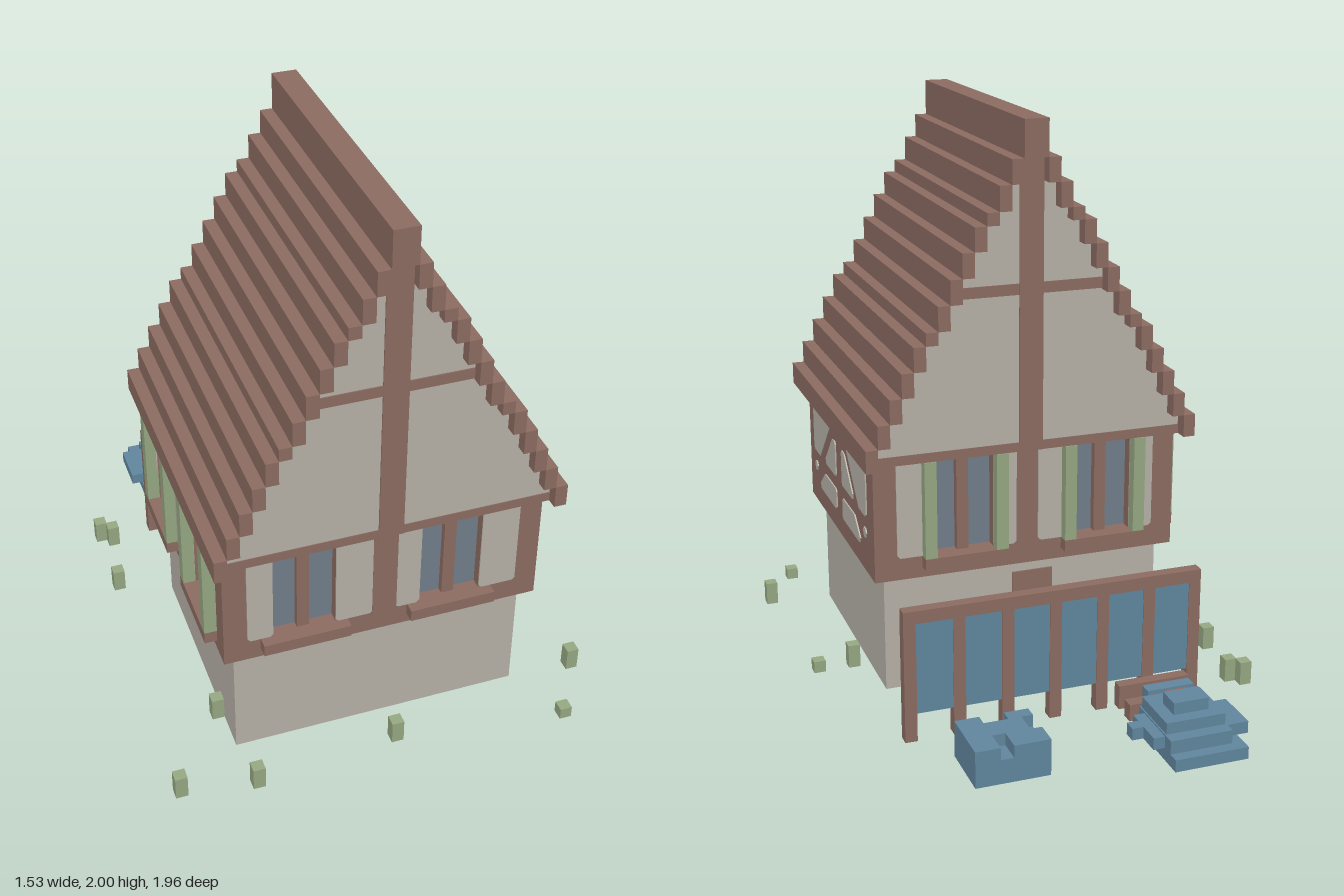
import * as THREE from 'three';

const U = 0.0425; // one block
const mat = (name, color) => { const m = new THREE.MeshStandardMaterial({ color }); m.name = name; return m; };

export function createModel() {
  const house = new THREE.Group();
  house.name = 'timberHouse';
  const brown = mat('timberBrown', 0x8d6d62);
  const cream = mat('plasterCream', 0xb9b4aa);
  const green = mat('leafGreen', 0x98aa83);
  const blue = mat('slateBlue', 0x6288a0);
  const glass = mat('windowGlass', 0x73808c);

  const add = (parent, name, geo, m) => {
    const mesh = new THREE.Mesh(geo, m);
    mesh.name = name;
    parent.add(mesh);
    return mesh;
  };
  // box from its limits
  const box = (parent, name, m, x0, x1, y0, y1, z0, z1) => {
    const b = add(parent, name, new THREE.BoxGeometry(x1 - x0, y1 - y0, z1 - z0), m);
    b.position.set((x0 + x1) / 2, (y0 + y1) / 2, (z0 + z1) / 2);
    return b;
  };
  const shapeOf = (pts) => new THREE.Shape(pts.map(([x, y]) => new THREE.Vector2(x, y)));
  const extrude = (shape, depth) => new THREE.ExtrudeGeometry(shape, { depth, bevelEnabled: false });
  // rectangle with clipped corners
  const clipped = (x0, x1, y0, y1, c) => shapeOf([[x0 + c, y0], [x1 - c, y0], [x1, y0 + c], [x1, y1 - c],
    [x1 - c, y1], [x0 + c, y1], [x0, y1 - c], [x0, y0 + c]]);
  // thin painted plate on a +z face
  const plate = (parent, name, m, shape, z) => { add(parent, name, extrude(shape, 0.005), m).position.z = z; };

  // Ground floor: four walls and a ceiling, open below
  const ground = new THREE.Group();
  ground.name = 'groundFloor';
  house.add(ground);
  const T = 0.02;
  box(ground, 'frontWall', cream, -0.51, 0.51, 0, 0.43, 0.73 - T, 0.73);
  box(ground, 'backWall', cream, -0.51, 0.51, 0, 0.43, -0.12, -0.12 + T);
  for (const s of [-1, 1]) {
    box(ground, 'sideWall', cream, s > 0 ? 0.51 - T : -0.51, s > 0 ? 0.51 : T - 0.51, 0, 0.43, -0.1, 0.71);
  }
  box(ground, 'ceiling', cream, -0.49, 0.49, 0.4, 0.425, -0.1, 0.71);
  box(ground, 'door', brown, -0.11, 0.04, 0.04, 0.38, -0.126, -0.119);
  box(ground, 'doorStep', cream, -0.15, 0.08, 0, U, -0.12 - U, -0.12);

  // Upper floor: glazed core behind timber walls with window openings
  const upper = new THREE.Group();
  upper.name = 'upperFloor';
  house.add(upper);
  box(upper, 'glazedCore', glass, -0.515, 0.515, 0.432, 0.86, -0.125, 0.735);

  const Y0 = 0.51, Y1 = 0.86;
  // wall facing local +z, with its outer face at z = dist
  const wall = (name, half, dist, turn, centre, windows, shutters) => {
    const g = new THREE.Group();
    g.name = name;
    g.rotation.y = turn;
    g.position.z = centre;
    upper.add(g);
    const shape = shapeOf([[-half, 0.43], [half, 0.43], [half, 0.86], [-half, 0.86]]);
    for (const [a, b] of windows) {
      shape.holes.push(new THREE.Path([[a, Y0], [a, Y1 - 0.004], [b, Y1 - 0.004], [b, Y0]]
        .map(([x, y]) => new THREE.Vector2(x, y))));
    }
    add(g, 'timberWall', extrude(shape, U), brown).position.z = dist - U;
    for (const [a, b] of windows) {
      const mid = (a + b) / 2;
      box(g, 'mullion', brown, mid - U / 2, mid + U / 2, Y0, Y1, dist - U, dist - 0.012);
      box(g, 'windowSill', brown, a - U, b + U, Y0 - U, Y0, dist, dist + U);
      // plaster on both sides of the window
      const left = a < 0 ? -half + 0.08 : 0.04, right = a < 0 ? -0.04 : half - 0.08;
      plate(g, 'plaster', cream, clipped(left, a, Y0, Y1, 0.01), dist);
      plate(g, 'plaster', cream, clipped(b, right, Y0, Y1, 0.01), dist);
      if (shutters) {
        box(g, 'shutter', green, a - U, a, Y0, Y1, dist, dist + U);
        box(g, 'shutter', green, b, b + U, Y0, Y1, dist, dist + U);
      }
    }
    return g;
  };
  const MZ = 0.305; // middle of the house in depth
  wall('frontUpperWall', 0.552, 0.77 - MZ, 0, MZ, [[-0.385, -0.17], [0.125, 0.34]], false);
  wall('backUpperWall', 0.552, 0.165 + MZ, Math.PI, MZ, [[-0.34, -0.125], [0.17, 0.385]], true);
  wall('leftSideUpperWall', 0.465, 0.552, -Math.PI / 2, MZ, [[-0.345, -0.13], [0.13, 0.345]], true);

  // Braced side wall: plaster fields between the timbers, mirrored about the middle post
  const braced = wall('bracedUpperWall', 0.465, 0.552, Math.PI / 2, MZ, [], false);
  const fields = [
    [[0.385, 0.85], [0.125, 0.85], [0.125, 0.8], [0.285, 0.64], [0.375, 0.64], [0.385, 0.65]],
    [[0.045, 0.765], [0.055, 0.775], [0.09, 0.77], [0.2, 0.66], [0.195, 0.64], [0.05, 0.64], [0.045, 0.65]],
    [[0.045, 0.58], [0.055, 0.59], [0.22, 0.59], [0.295, 0.53], [0.285, 0.51], [0.055, 0.51], [0.045, 0.52]],
    [[0.34, 0.58], [0.35, 0.595], [0.37, 0.595], [0.38, 0.58], [0.37, 0.56], [0.35, 0.56]],
  ];
  for (const s of [-1, 1]) {
    for (const f of fields) plate(braced, 'plasterField', cream, shapeOf(f.map(([x, y]) => [x * s, y])), 0.552);
  }

  // Stepped roof and ridge
  const roof = new THREE.Group();
  roof.name = 'roof';
  house.add(roof);
  const tops = [2, 1.873, 1.79, 1.704, 1.66, 1.577, 1.492, 1.407, 1.322, 1.277, 1.192, 1.107, 1.022, 0.94, 0.86];
  box(roof, 'ridge', brown, -U, U, tops[1], tops[0], -0.25, 0.85);
  for (let i = 1; i < 14; i++) {
    for (const s of [-1, 1]) {
      const x = s * U * (i + 0.5);
      box(roof, 'roofStep', brown, x - U / 2, x + U / 2, tops[i + 1], tops[i], -0.25, 0.85);
    }
  }

  // Gable body filling the space below the steps
  const gable = new THREE.Group();
  gable.name = 'gable';
  house.add(gable);
  const GF = 0.81, GB = -0.2;
  const rightSide = [];
  for (let i = 13; i >= 1; i--) rightSide.push([U * i, Math.max(tops[i + 1], 0.89)], [U * i, tops[i]]);
  const leftSide = rightSide.map(([x, y]) => [-x, y]).reverse();
  add(gable, 'gableWall', extrude(shapeOf([...rightSide, ...leftSide]), GF - GB), cream).position.z = GB;
  box(gable, 'gableBeam', brown, -13 * U, 13 * U, 0.86, 0.893, GB - 0.003, GF + 0.003);
  for (const z of [GF, GB]) {
    box(gable, 'kingPost', brown, -U, U, 0.86, 1.873, z - 0.005, z + 0.005);
    box(gable, 'collarBeam', brown, -6 * U, 6 * U, 1.412, 1.45, z - 0.004, z + 0.004);
  }
  box(upper, 'centrePost', brown, -U, U, 0.5, 0.86, 0.765, 0.776);

  // Fence with blue panels between posts
  const fence = new THREE.Group();
  fence.name = 'fence';
  house.add(fence);
  const FB = -0.51, FF = -0.468;
  box(fence, 'topRail', brown, -0.51, 0.552, 0.425, 0.47, FB, FF);
  for (let i = 0; i < 7; i++) {
    const x = -0.51 + i * 4 * U;
    box(fence, 'post', brown, x, x + U, 0, 0.43, FB, FF);
    if (i < 6) box(fence, 'panel', blue, x + U, x + 4 * U, 0.1, 0.43, FB + 0.003, FF - 0.003);
  }

  // Stepped mound
  const mound = new THREE.Group();
  mound.name = 'steppedMound';
  house.add(mound);
  const tiers = [
    [-0.47, -0.21, 0, 0.043, -0.98, -0.64], [-0.51, -0.17, 0.043, 0.085, -0.895, -0.73],
    [-0.43, -0.21, 0.043, 0.09, -0.94, -0.68], [-0.425, -0.215, 0.085, 0.13, -0.895, -0.7],
    [-0.385, -0.26, 0.13, 0.172, -0.85, -0.765], [-0.17, -0.13, 0.043, 0.085, -0.815, -0.77],
  ];
  for (const t of tiers) box(mound, 'moundTier', blue, ...t);

  // Low tub with a notched rim
  const tub = new THREE.Group();
  tub.name = 'tub';
  house.add(tub);
  box(tub, 'tubBase', blue, 0.17, 0.425, 0, 0.085, -0.86, -0.645);
  const rim = [[0.17, 0.295, -0.86, -0.775], [0.34, 0.425, -0.86, -0.815], [0.21, 0.34, -0.775, -0.69],
    [0.34, 0.425, -0.815, -0.645], [0.17, 0.255, -0.69, -0.645]];
  for (const [x0, x1, z0, z1] of rim) box(tub, 'rimBlock', blue, x0, x1, 0.085, 0.128, z0, z1);

  // Trough between fence and mound
  const trough = new THREE.Group();
  trough.name = 'trough';
  house.add(trough);
  box(trough, 'water', blue, -0.43, -0.26, 0.045, 0.115, -0.645, -0.6);
  box(trough, 'rail', brown, -0.43, -0.175, 0.04, 0.125, -0.6, -0.56);
  box(trough, 'rail', brown, -0.38, -0.175, 0.04, 0.1, -0.69, -0.645);
  box(trough, 'bracket', brown, -0.385, -0.3, 0, 0.08, -0.56, -0.51);
  box(trough, 'spout', brown, -0.385, -0.3, 0.085, 0.134, -0.73, -0.69);

  // Grass tufts: x, z, height in blocks
  const tufts = [[-0.7, -0.49, 2], [-0.66, -0.45, 2], [-0.7, -0.19, 2], [0.7, 0.105, 1], [0.572, 0.105, 2],
    [0.74, 0.745, 2], [0.613, 0.957, 1], [0.02, 0.87, 2], [-0.49, 0.915, 2], [-0.745, 0.87, 2],
    [-0.532, 0.57, 2], [-0.236, -0.28, 2], [0.063, -0.28, 1]];
  for (const [x, z, h] of tufts) {
    box(house, 'grassTuft', green, x - U / 2, x + U / 2, 0, h * U, z - U / 2, z + U / 2);
  }
  return house;
}
